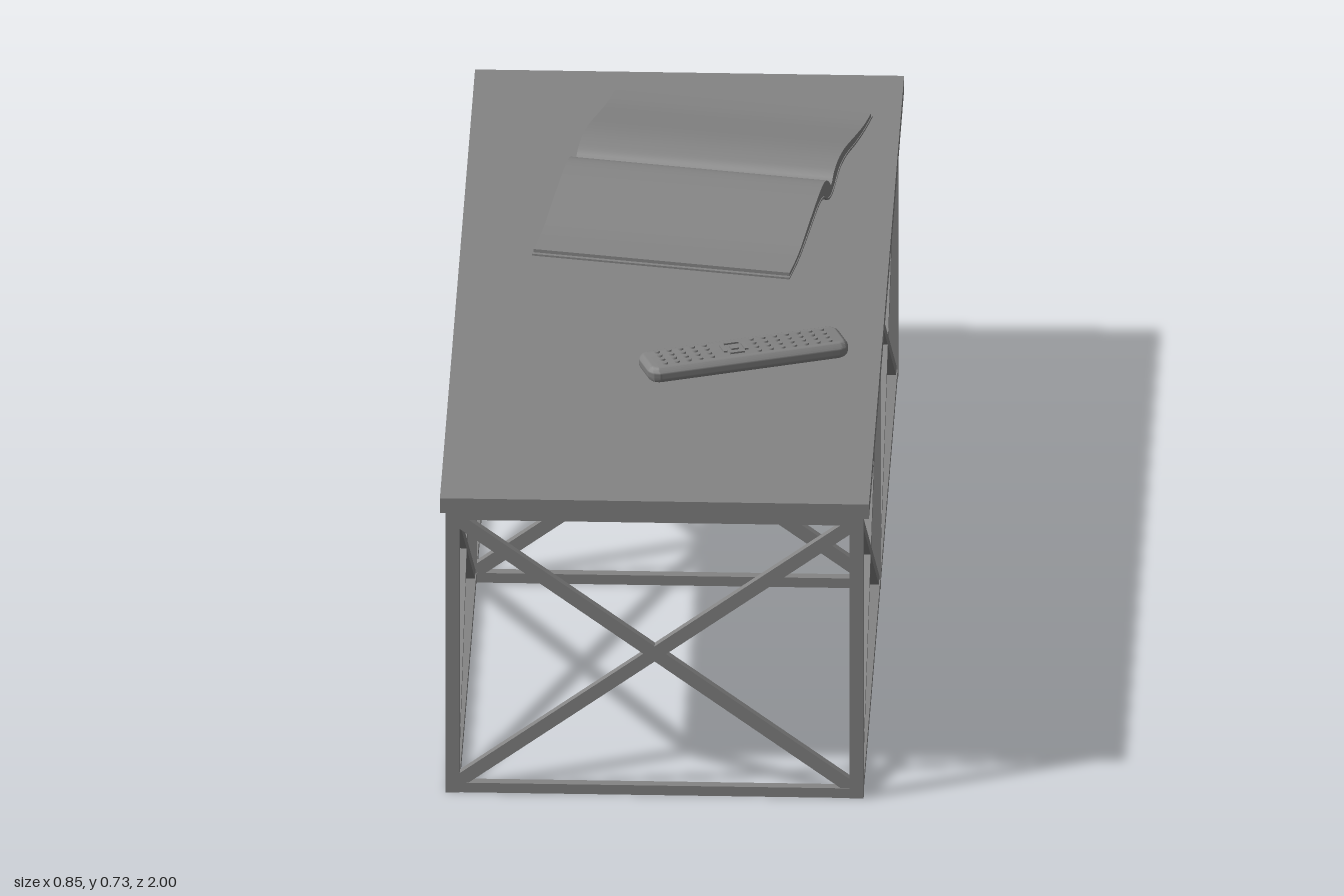
import * as THREE from 'three';
import { toCreasedNormals } from 'three/addons/utils/BufferGeometryUtils.js';

const darkGrey = new THREE.MeshStandardMaterial({ color: 0x848484 });

function add(parent, name, geometry, x = 0, y = 0, z = 0) {
  const mesh = new THREE.Mesh(geometry, darkGrey);
  mesh.name = name;
  mesh.position.set(x, y, z);
  parent.add(mesh);
  return mesh;
}

// Square bar between two points; w is its width in the frame plane, d its depth
function bar(parent, name, a, b, w, d) {
  const p = new THREE.Vector3(...a), q = new THREE.Vector3(...b);
  const mesh = add(parent, name, new THREE.BoxGeometry(d, w, p.distanceTo(q)));
  mesh.position.copy(p).add(q).multiplyScalar(0.5);
  mesh.lookAt(q);
}

function createFrame() {
  const frame = new THREE.Group();
  frame.name = 'frame';
  const X = 0.402, Z = 0.978, LOW = 0.011, HIGH = 0.61;
  const zs = [-Z, 0, Z];
  for (const z of zs) {
    for (const x of [-X, X]) add(frame, 'leg', new THREE.BoxGeometry(0.028, 0.62, 0.021), x, 0.31, z);
    for (const y of [LOW, HIGH]) add(frame, 'crossRail', new THREE.BoxGeometry(2 * X, 0.021, 0.02), 0, y, z);
    // Cross bracing across the width
    for (const s of [-1, 1]) {
      bar(frame, 'endBrace', [-s * X, LOW + 0.004, z], [s * X, HIGH - 0.004, z], 0.027, 0.018);
    }
  }
  // Long rails and two braced bays on each side
  for (const x of [-X, X]) {
    for (const y of [LOW, HIGH]) add(frame, 'sideRail', new THREE.BoxGeometry(0.026, 0.021, 2 * Z), x, y, 0);
    for (let i = 0; i < 2; i++) {
      bar(frame, 'sideBrace', [x, LOW, zs[i]], [x, HIGH, zs[i + 1]], 0.02, 0.022);
      bar(frame, 'sideBrace', [x, HIGH, zs[i]], [x, LOW, zs[i + 1]], 0.02, 0.022);
    }
  }
  return frame;
}

// Sheet with a curved section in the z-y plane, centred along x
function curvedSheet(top, bottom, width) {
  const smooth = (pts) => new THREE.SplineCurve(pts.map(([v, y]) => new THREE.Vector2(v, y))).getPoints(40);
  const shape = new THREE.Shape([...smooth(bottom), ...smooth(top).reverse()]);
  const geo = new THREE.ExtrudeGeometry(shape, { depth: width, bevelEnabled: false });
  geo.translate(0, 0, -width / 2).rotateY(-Math.PI / 2);
  return toCreasedNormals(geo, 0.6);
}

function createBook() {
  const book = new THREE.Group();
  book.name = 'openBook';
  book.position.set(0.045, 0, -0.446);
  book.rotation.y = -0.18;
  const top = [[-0.38, 0.676], [-0.31, 0.681], [-0.23, 0.695], [-0.14, 0.712], [-0.08, 0.716], [-0.035, 0.707],
    [-0.008, 0.69], [0.015, 0.708], [0.05, 0.724], [0.1, 0.722], [0.19, 0.703], [0.29, 0.68], [0.38, 0.675]];
  const under = [[-0.38, 0.668], [-0.31, 0.671], [-0.23, 0.68], [-0.14, 0.695], [-0.08, 0.694], [-0.04, 0.679],
    [-0.005, 0.671], [0.03, 0.678], [0.06, 0.697], [0.11, 0.703], [0.19, 0.688], [0.29, 0.671], [0.38, 0.668]];
  const outer = under.map(([v, y]) => [v * 1.02, y]);
  add(book, 'pages', curvedSheet(top, under, 0.521));
  add(book, 'cover', curvedSheet(outer, outer.map(([v, y]) => [v, y - 0.004]), 0.524));
  return book;
}

function roundedRect(w, h, r) {
  const s = new THREE.Shape(), x = w / 2, y = h / 2;
  s.absarc(x - r, y - r, r, 0, Math.PI / 2);
  s.absarc(r - x, y - r, r, Math.PI / 2, Math.PI);
  s.absarc(r - x, r - y, r, Math.PI, Math.PI * 1.5);
  s.absarc(x - r, r - y, r, Math.PI * 1.5, Math.PI * 2);
  return s;
}

function createRemote() {
  const remote = new THREE.Group();
  remote.name = 'remoteControl';
  remote.position.set(0.157, 0.687, 0.419);
  remote.rotation.y = 0.345;

  // Slim body with rounded edges
  const body = new THREE.ExtrudeGeometry(roundedRect(0.388, 0.07, 0.01), {
    depth: 0.008, bevelThickness: 0.013, bevelSize: 0.015, bevelSegments: 6, curveSegments: 6,
  });
  body.rotateX(-Math.PI / 2);
  add(remote, 'body', toCreasedNormals(body, 0.7), 0, 0.013, 0);

  // Rows of small keys either side of the direction pad
  const padX = -0.02;
  const key = new THREE.CylinderGeometry(0.005, 0.006, 0.004, 10);
  for (let i = 0; i < 15; i++) {
    const x = -0.172 + i * 0.0245;
    if (Math.abs(x - padX) < 0.034) continue;
    for (const z of [-0.027, -0.009, 0.009, 0.027]) add(remote, 'key', key, x, 0.0355, z);
  }
  for (const s of [-1, 1]) {
    add(remote, 'padKey', new THREE.BoxGeometry(0.008, 0.004, 0.03), padX + s * 0.022, 0.0355, 0);
    add(remote, 'padKey', new THREE.BoxGeometry(0.03, 0.004, 0.008), padX, 0.0355, s * 0.022);
  }
  add(remote, 'padCentre', new THREE.BoxGeometry(0.016, 0.004, 0.016), padX, 0.0355, 0);
  return remote;
}

export function createModel() {
  const model = new THREE.Group();
  model.name = 'coffeeTable';
  add(model, 'tableTop', new THREE.BoxGeometry(0.854, 0.032, 2), 0, 0.636, 0);
  model.add(createFrame(), createBook(), createRemote());
  return model;
}
